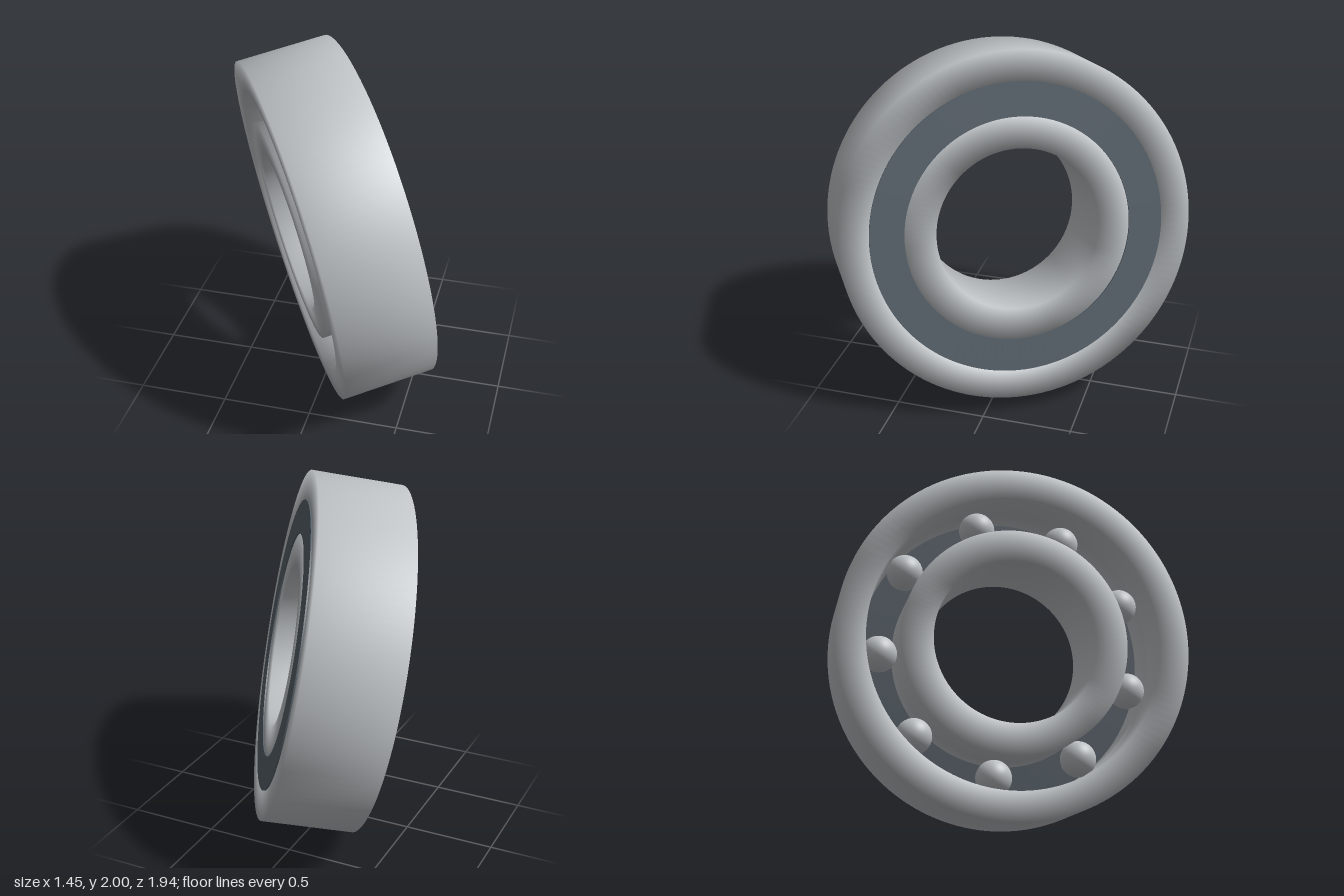
import * as THREE from 'three';

const R = 0.97, BORE = 0.448;          // outer and bore radii
const IN_R = 0.62, OUT_R = 0.806;      // shoulders facing the ball track
const H = 0.252;                       // half width
const PITCH = (IN_R + OUT_R) / 2, GROOVE = 0.105;

// Upper half of a track groove, from its middle to the end of its arc.
// side = +1 for the outer ring, -1 for the inner ring.
function halfGroove(side) {
  const end = Math.acos((OUT_R - PITCH) / GROOVE);
  const pts = [];
  for (let i = 0; i <= 5; i++) {
    const a = (end * i) / 5;
    pts.push([PITCH + side * GROOVE * Math.cos(a), GROOVE * Math.sin(a)]);
  }
  return pts;
}

const lathe = (pts) =>
  new THREE.LatheGeometry(pts.map(([r, y]) => new THREE.Vector2(r, y)), 128);

const flip = (pts) => pts.map(([r, y]) => [r, -y]);

export function createModel() {
  const steel = new THREE.MeshStandardMaterial({ color: 0xbfc3c6 });
  steel.name = 'steel grey';
  const rubber = new THREE.MeshStandardMaterial({ color: 0x57616a });
  rubber.name = 'slate seal';

  const bearing = new THREE.Group();
  bearing.name = 'bearing';
  const add = (name, geometry, material) => {
    const mesh = new THREE.Mesh(geometry, material);
    mesh.name = name;
    bearing.add(mesh);
    return mesh;
  };

  // Outer ring: closed section starting in the middle of its track
  const og = halfGroove(1);
  add('outerRing', lathe([
    ...flip(og), [OUT_R, -H], [R, -H], [R, H], [OUT_R, H], ...og.slice().reverse(),
  ]), steel);

  // Inner ring: the same idea, track facing outward
  const ig = halfGroove(-1);
  add('innerRing', lathe([
    ...ig, [IN_R, H], [BORE, H], [BORE, -H], [IN_R, -H], ...flip(ig).reverse(),
  ]), steel);

  // Seal on one side only; doubled points keep its edges sharp
  const lo = H - 0.05, hi = H + 0.008;
  const corners = [[IN_R, lo], [OUT_R, lo], [OUT_R, hi], [IN_R, hi]];
  const seal = corners.flatMap((p) => [p, p]).slice(1);
  add('seal', lathe([...seal, corners[0]]), rubber);

  // Nine balls around the track
  const ballGeometry = new THREE.SphereGeometry(0.1, 32, 20);
  for (let i = 0; i < 9; i++) {
    const a = THREE.MathUtils.degToRad(106.5 + i * 40);
    add('ball', ballGeometry, steel)
      .position.set(PITCH * Math.cos(a), 0, PITCH * Math.sin(a));
  }

  // Tilt the axle so the sealed side looks right, slightly up and back
  const axis = new THREE.Vector3(0.85, 0.19, -0.49).normalize();
  const across = new THREE.Vector3(-axis.z, 0, axis.x).normalize();
  const up = new THREE.Vector3().crossVectors(across, axis);
  bearing.quaternion.setFromRotationMatrix(
    new THREE.Matrix4().makeBasis(across, axis, up));
  bearing.position.y = 1;

  const model = new THREE.Group();
  model.name = 'ballBearing';
  model.add(bearing);
  return model;
}
